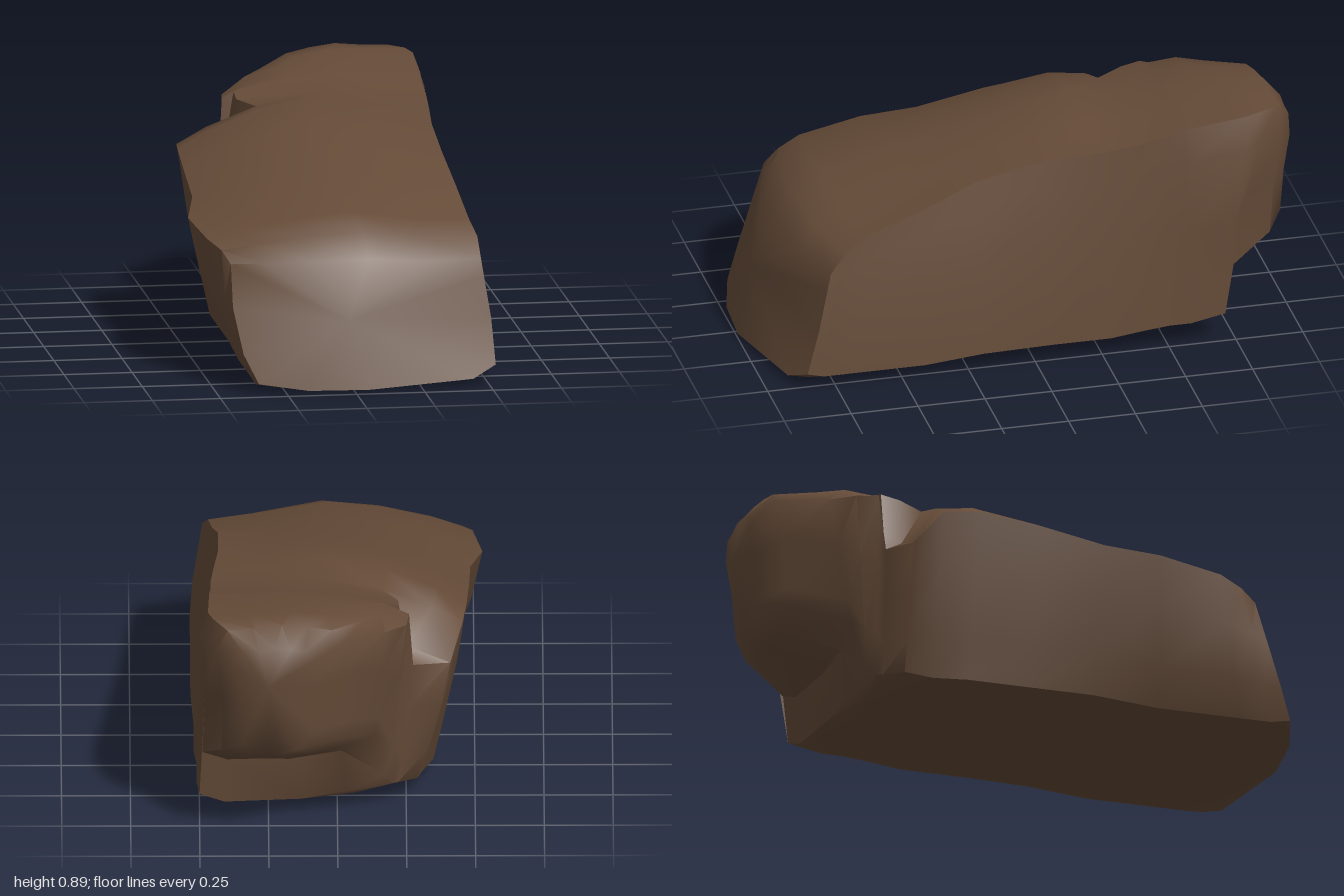
import * as THREE from 'three';
import { toCreasedNormals } from 'three/addons/utils/BufferGeometryUtils.js';

const { lerp, clamp, smoothstep } = THREE.MathUtils;

// Stations from front to back:
// z at bottom, z at top, bottom left x, shoulder x, shoulder y, crown y, right edge x, right edge y, bottom right x, bottom y
const STATIONS = [
  [1.0, 0.86, -0.35, -0.43, 0.45, 0.47, 0.49, 0.44, 0.53, 0.015],
  [0.92, 0.79, -0.35, -0.455, 0.49, 0.56, 0.485, 0.51, 0.53, 0],
  [0.78, 0.68, -0.35, -0.495, 0.515, 0.61, 0.465, 0.56, 0.53, 0],
  [0.45, 0.42, -0.35, -0.53, 0.545, 0.67, 0.45, 0.64, 0.53, 0],
  [0.2, 0.2, -0.35, -0.485, 0.58, 0.735, 0.43, 0.72, 0.53, 0.02],
  [-0.05, -0.05, -0.35, -0.48, 0.63, 0.795, 0.43, 0.77, 0.52, 0.02],
  [-0.28, -0.26, -0.35, -0.47, 0.66, 0.845, 0.45, 0.79, 0.52, 0.02],
  [-0.4, -0.4, -0.31, -0.455, 0.65, 0.825, 0.46, 0.81, 0.51, 0.03],
  [-0.5, -0.5, -0.29, -0.41, 0.54, 0.85, 0.46, 0.83, 0.51, 0.04],
  [-0.56, -0.57, -0.22, -0.275, 0.57, 0.86, 0.465, 0.85, 0.51, 0.04],
  [-0.58, -0.59, -0.2, -0.26, 0.79, 0.865, 0.465, 0.855, 0.51, 0.04],
  [-0.69, -0.78, -0.17, -0.25, 0.8, 0.885, 0.47, 0.88, 0.5, 0.06],
  [-0.71, -0.85, -0.14, -0.17, 0.81, 0.895, 0.45, 0.885, 0.49, 0.24],
  [-0.89, -0.94, -0.02, -0.03, 0.85, 0.895, 0.4, 0.88, 0.42, 0.33],
  [-0.95, -0.99, 0.1, 0.09, 0.8, 0.83, 0.34, 0.81, 0.35, 0.38],
];
const FRONT_BOW = [0.45, 0.4, 0.25, 0.1];
const BACK_SKEW = { 11: 0.15, 12: 0.13, 13: 0.08, 14: 0.04 };
const NOTCH = [8, 9]; // stations where the left shoulder drops away beside the head

// One closed cross-section, running up the left side, over the top and down the right
function section([zB, zT, xBL, xS, yS, yT, xR, yR, xBR, yB], index) {
  const bow = FRONT_BOW[index] ?? 0;
  const skew = BACK_SKEW[index] ?? 0;
  const back = smoothstep(-zT, 0.4, 0.8);
  const slope = NOTCH.includes(index)
    ? [[-0.25, lerp(yS, yT, 0.2)], [-0.22, lerp(yS, yT, 0.8)]]
    : [[lerp(xS, xR, 0.12), lerp(yS, yT, 0.35)], [lerp(xS, xR, 0.32), lerp(yS, yT, 0.75)]];
  const outline = [
    [xBL, yB + 0.02 + 0.06 * back],
    [lerp(xBL, xS, 0.3 + 0.7 * bow), lerp(yB, yS, 0.28)],
    [lerp(xBL, xS, 0.72 + 0.6 * bow), lerp(yB, yS, 0.65)],
    [xS, yS - 0.03 * back],
    ...slope,
    [lerp(xS, xR, 0.54), yT],
    [lerp(xS, xR, 0.78), lerp(yT, yR, 0.7)],
    [xR, yR],
    [lerp(xR, xBR, 0.22) + 0.035 * back, lerp(yR, yB, 0.15)],
    [lerp(xR, xBR, 0.75), lerp(yR, yB, 0.5)],
    [xBR, yB + 0.05],
    [xBR - 0.09, yB + 0.01],
    [lerp(xBL, xBR, 0.45), yB],
    [lerp(xBL, xBR, 0.2), yB + 0.02 * back],
  ];
  return outline.map(([x, y]) => [
    x, y, lerp(zB, zT, clamp((y - yB) / (yT - yB), 0, 1)) - bow * x * x + skew * (0.4 - x),
  ]);
}

// Skin the cross-sections and close both ends with fans
function boulderGeometry() {
  const rings = STATIONS.map(section);
  const n = rings[0].length;
  const positions = rings.flat(2);
  const index = [];
  for (let i = 0; i < rings.length - 1; i++) {
    for (let j = 0; j < n; j++) {
      const a = i * n + j, b = i * n + (j + 1) % n;
      index.push(a, b, a + n, b, b + n, a + n);
    }
  }
  const last = (rings.length - 1) * n, front = rings.length * n, rear = front + 1;
  positions.push(-0.02, 0.26, 0.94, 0.25, 0.68, -1.0);
  for (let j = 0; j < n; j++) {
    const k = (j + 1) % n;
    index.push(front, k, j, rear, last + j, last + k);
  }
  const geometry = new THREE.BufferGeometry();
  geometry.setAttribute('position', new THREE.Float32BufferAttribute(positions, 3));
  geometry.setIndex(index);
  return toCreasedNormals(geometry, 0.9);
}

export function createModel() {
  const group = new THREE.Group();
  group.name = 'rock';
  const brown = new THREE.MeshStandardMaterial({ color: 0x654b38 });
  brown.name = 'earth brown';
  const boulder = new THREE.Mesh(boulderGeometry(), brown);
  boulder.name = 'boulder';
  group.add(boulder);
  return group;
}
